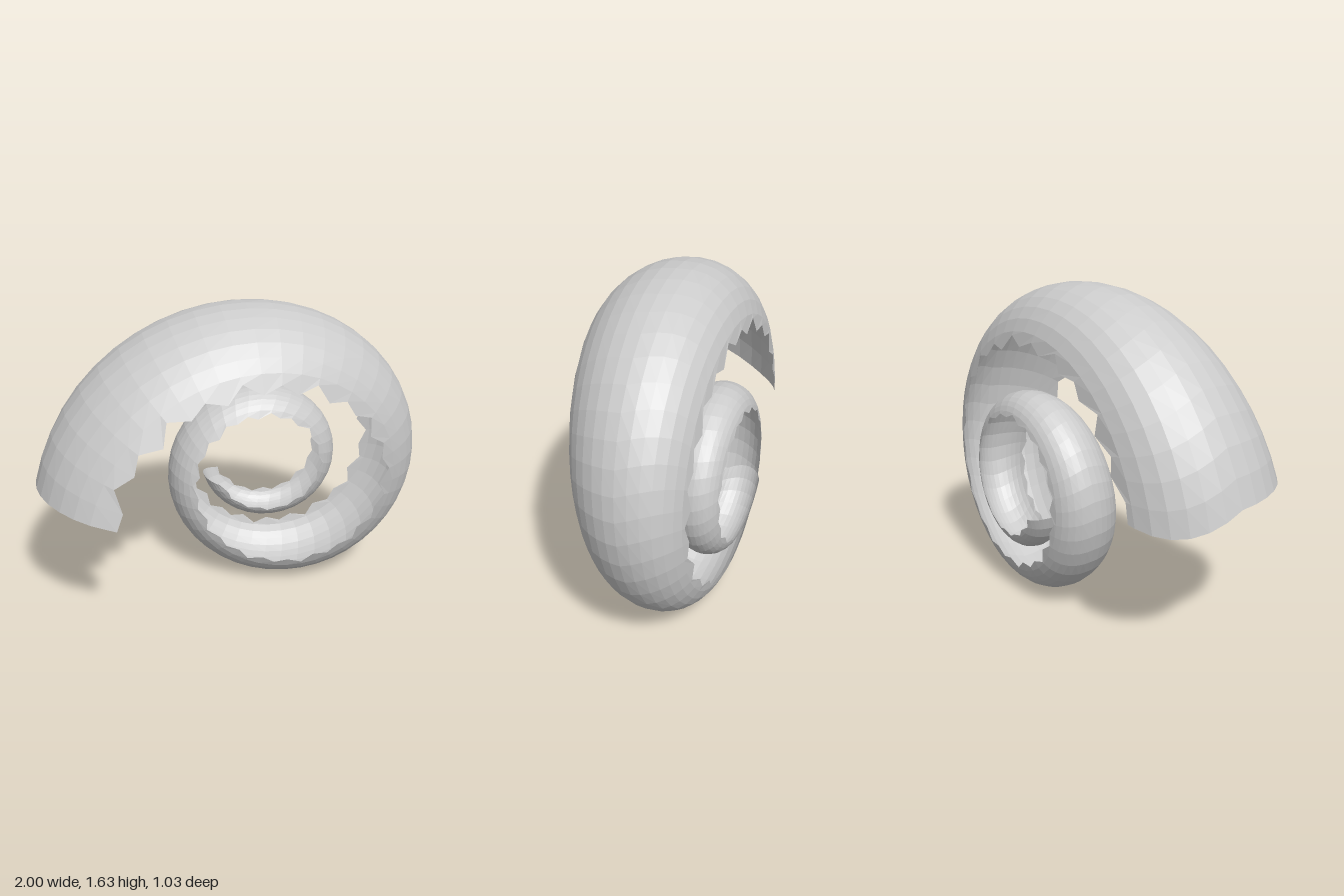
import * as THREE from 'three';

// Values at each quarter turn, from the wide mouth to the narrow tip
const OUTER = [1.225, 0.985, 0.79, 0.63, 0.52, 0.455, 0.41, 0.365, 0.33];
const TUBE = [0.465, 0.37, 0.28, 0.235, 0.19, 0.16, 0.14, 0.125, 0.115];
const DEPTH = [0.075, -0.06, -0.175, -0.235, -0.285, -0.33, -0.36, -0.385, -0.41];
const AXIS = { x: 0.21, y: 0.63 };

// Smooth (Catmull-Rom) reading of a quarter-turn table
function sample(table, t) {
  const last = table.length - 1;
  const i = Math.max(0, Math.min(last - 1, Math.floor(t)));
  const f = t - i;
  const p1 = table[i], p2 = table[i + 1];
  const p0 = i > 0 ? table[i - 1] : 2 * p1 - p2;
  const p3 = i + 2 <= last ? table[i + 2] : 2 * p2 - p1;
  return p1 + 0.5 * f * (p2 - p0 + f * (2 * p0 - 5 * p1 + 4 * p2 - p3 + f * (3 * (p1 - p2) + p3 - p0)));
}

// Point on the coiled half tube: t in quarter turns, a = angle around the tube (0 outward, + to the front).
// The crown of each section leans a little to the back.
function shellPoint(t, a) {
  const phi = Math.PI - t * Math.PI / 2;
  const r = sample(TUBE, t);
  const d = sample(OUTER, t) - r + r * Math.cos(a);
  const z = sample(DEPTH, t) + r * (Math.sin(a) - 0.12 * Math.cos(a));
  return [AXIS.x + d * Math.cos(phi), AXIS.y + d * Math.sin(phi), z];
}

// Ragged lip: alternating teeth with slight variation in length
function lipAngle(i, phase) {
  const tooth = (i + phase) % 2 ? 1.43 : 1.29;
  return tooth - 0.04 * phase + 0.03 * Math.sin(i * 1.7 + phase * 2);
}

function shellGeometry(along, around) {
  const positions = [], indices = [];
  for (let i = 0; i <= along; i++) {
    const u = i / along;
    const narrowing = 0.12 * u;
    const front = (i === 0 ? 1.45 : lipAngle(i, 0)) - narrowing;
    const back = (i === 0 ? 1.25 : lipAngle(i, 1)) - narrowing;
    for (let j = 0; j <= around; j++) {
      // Only the two lips follow the teeth; inner rows stay even
      let a = ((j / around) * 2 - 1) * (1.36 - narrowing);
      if (j === 0) a = -back;
      if (j === around) a = front;
      // The mouth dips on its back half, and the tip is cut at a slant
      const start = a < 0 ? 0.07 + 0.055 * Math.sin(2 * a) : 0.07 + 0.016 * Math.sin(a);
      const end = 7.8 - 0.18 * (1 - Math.cos(a));
      // Columns spread out towards the tip
      const t = THREE.MathUtils.lerp(start, end, 0.72 * u + 0.28 * u * u);
      positions.push(...shellPoint(t, a));
    }
  }
  const row = around + 1;
  for (let i = 0; i < along; i++) {
    for (let j = 0; j < around; j++) {
      const p = i * row + j, q = p + row;
      indices.push(p, q, p + 1, q, q + 1, p + 1);
    }
  }
  const geometry = new THREE.BufferGeometry();
  geometry.setAttribute('position', new THREE.Float32BufferAttribute(positions, 3));
  geometry.setIndex(indices);
  geometry.computeVertexNormals();
  return geometry;
}

export function createModel() {
  const group = new THREE.Group();
  group.name = 'spiralShell';
  // Coiled open half tube
  const material = new THREE.MeshStandardMaterial({ color: 0xcccccc, flatShading: true, side: THREE.DoubleSide });
  const shell = new THREE.Mesh(shellGeometry(76, 14), material);
  shell.name = 'coiledShellWall';
  group.add(shell);
  return group;
}
